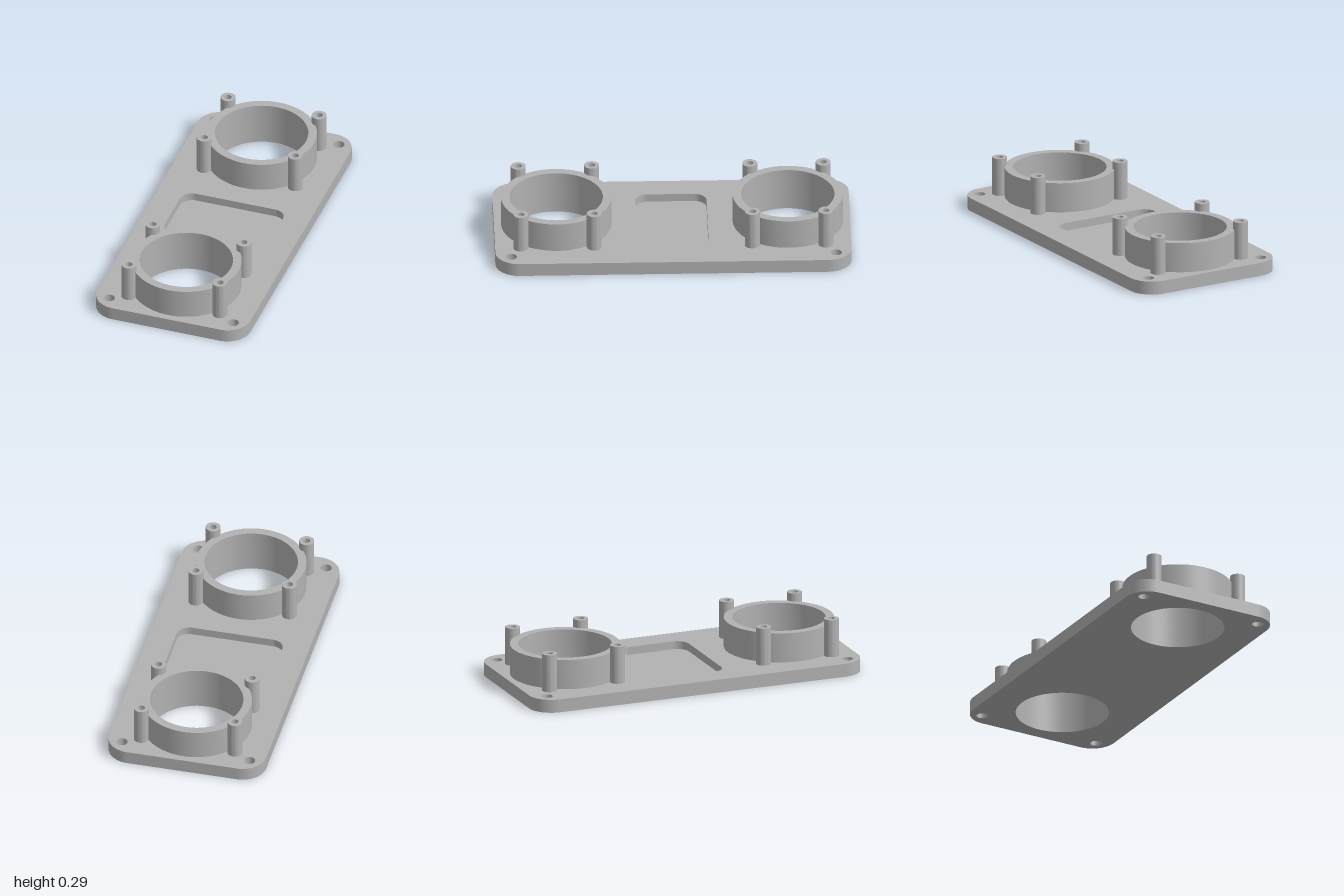
import * as THREE from 'three';
import { toCreasedNormals } from 'three/addons/utils/BufferGeometryUtils.js';

const PLATE_TOP = 0.076, RING_TOP = 0.247, POST_TOP = 0.293, POCKET_FLOOR = 0.03;
const RING_Z = 0.65, BORE = 0.262;

const grey = new THREE.MeshStandardMaterial({ color: 0xb2b2b2 });
grey.name = 'grey';

function circle(x, y, r, Type = THREE.Path) {
  return new Type().absarc(x, y, r, 0, Math.PI * 2, false);
}

// Rounded rectangle with half sizes w, h and corner radius r
function roundedRect(w, h, r, Type = THREE.Path) {
  const s = new Type();
  s.absarc(w - r, h - r, r, 0, Math.PI / 2, false);
  s.absarc(-w + r, h - r, r, Math.PI / 2, Math.PI, false);
  s.absarc(-w + r, -h + r, r, Math.PI, Math.PI * 1.5, false);
  s.absarc(w - r, -h + r, r, Math.PI * 1.5, Math.PI * 2, false);
  s.closePath();
  return s;
}

// Extrude a plan outline upward from y0 to y1
function slab(name, shape, y0, y1, segments) {
  let g = new THREE.ExtrudeGeometry(shape, { depth: y1 - y0, bevelEnabled: false, curveSegments: segments });
  g.rotateX(-Math.PI / 2);
  g.translate(0, y0, 0);
  g = toCreasedNormals(g, 0.6);
  const mesh = new THREE.Mesh(g, grey);
  mesh.name = name;
  return mesh;
}

export function createModel() {
  const model = new THREE.Group();
  model.name = 'twinRingMountingPlate';

  // Base plate with two bores, four corner holes and the pocket opening
  const plate = roundedRect(0.453, 1, 0.135, THREE.Shape);
  plate.holes.push(roundedRect(0.305, 0.2, 0.07));
  for (const sz of [-1, 1]) {
    plate.holes.push(circle(0, sz * RING_Z, BORE));
    for (const sx of [-1, 1]) plate.holes.push(circle(sx * 0.368, sz * 0.912, 0.032));
  }
  model.add(slab('basePlate', plate, 0, PLATE_TOP, 48));

  // Floor of the shallow pocket
  model.add(slab('pocketFloor', roundedRect(0.305, 0.2, 0.07, THREE.Shape), 0, POCKET_FLOOR, 48));

  for (const sz of [-1, 1]) {
    const mount = new THREE.Group();
    mount.name = sz > 0 ? 'frontMount' : 'backMount';
    mount.position.z = sz * RING_Z;

    // Raised collar around the bore
    const collar = circle(0, 0, 0.31, THREE.Shape);
    collar.holes.push(circle(0, 0, BORE));
    mount.add(slab('collar', collar, PLATE_TOP, RING_TOP, 48));

    // Four hollow screw posts around the collar
    for (const sx of [-1, 1]) for (const s of [-1, 1]) {
      const profile = circle(0, 0, 0.042, THREE.Shape);
      profile.holes.push(circle(0, 0, 0.02));
      const post = slab('screwPost', profile, PLATE_TOP, POST_TOP, 24);
      post.position.set(sx * 0.27, 0, s * 0.206);
      mount.add(post);
    }
    model.add(mount);
  }
  return model;
}
